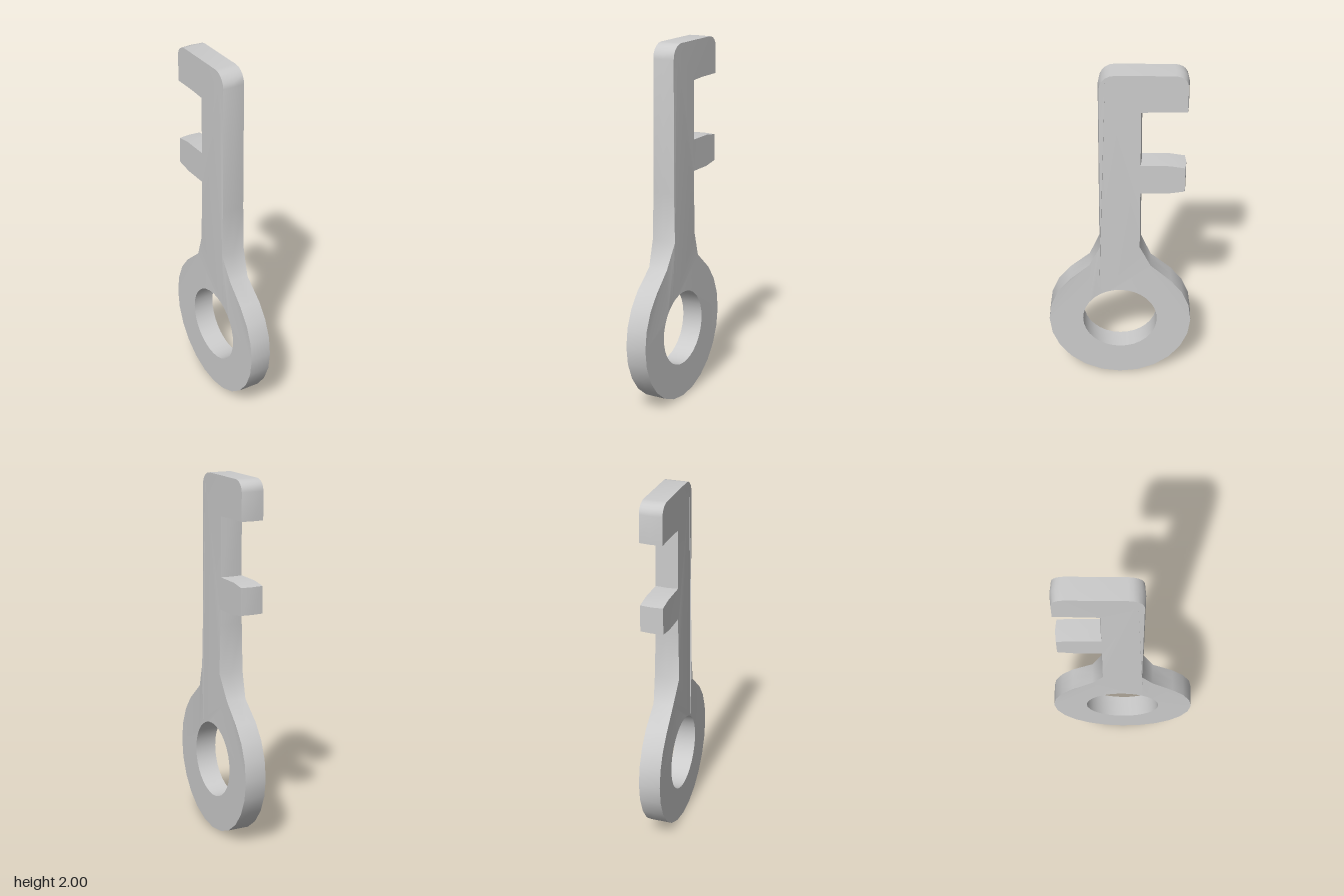
import * as THREE from 'three';
import { toCreasedNormals } from 'three/addons/utils/BufferGeometryUtils.js';

const RING_Y = 0.403, RING_R = 0.402;

// Profile drawn in the side plane: first coordinate points to the back (-z), second up
function keyShape() {
  const pts = [];
  // ring, from the left of the neck round the bottom to the right
  for (let deg = 135; deg <= 405; deg += 15) {
    const a = THREE.MathUtils.degToRad(deg);
    pts.push([RING_R * Math.cos(a), RING_Y + RING_R * Math.sin(a)]);
  }
  // neck, shaft back edge and the two bits
  pts.push([0.17, 0.79], [0.108, 0.93], [0.108, 1.2], [0.108, 1.285]);
  pts.push([0.25, 1.285], [0.343, 1.3], [0.343, 1.447], [0.26, 1.46], [0.108, 1.46]);
  pts.push([0.108, 1.785], [0.2, 1.79], [0.346, 1.79]);
  // rounded top corners
  const corner = (cx, cy, rx, ry, from) => {
    for (let i = 0; i <= 5; i++) {
      const a = from + (i / 5) * Math.PI / 2;
      pts.push([cx + rx * Math.cos(a), cy + ry * Math.sin(a)]);
    }
  };
  corner(0.276, 1.94, 0.07, 0.06, 0);
  corner(-0.028, 1.92, 0.08, 0.08, Math.PI / 2);
  // shaft front edge
  pts.push([-0.108, 1.2], [-0.108, 0.93], [-0.17, 0.79]);

  const shape = new THREE.Shape(pts.map(([x, y]) => new THREE.Vector2(x, y)));
  const hole = new THREE.Path();
  hole.absarc(0, 0.408, 0.21, 0, Math.PI * 2, true);
  shape.holes.push(hole);
  return shape;
}

// Half thickness by height: slightly pinched under the neck, swollen at its top
const levels = [[0, 0.06], [0.69, 0.06], [0.79, 0.056], [0.93, 0.07], [1.2, 0.064], [1.46, 0.062], [2, 0.062]];
function halfThickness(y) {
  for (let i = 1; i < levels.length; i++) {
    const [y0, t0] = levels[i - 1], [y1, t1] = levels[i];
    if (y <= y1) return THREE.MathUtils.mapLinear(y, y0, y1, t0, t1);
  }
  return 0.062;
}

export function createModel() {
  const group = new THREE.Group();
  const geo = new THREE.ExtrudeGeometry(keyShape(), {
    depth: 2, steps: 2, bevelEnabled: false, curveSegments: 16,
  });
  geo.translate(0, 0, -1);

  // set the thickness and crown the rim slightly along its middle
  const pos = geo.attributes.position;
  for (let i = 0; i < pos.count; i++) {
    const x = pos.getX(i), y = pos.getY(i), side = pos.getZ(i);
    if (Math.abs(side) < 0.01 && y > 0.9 && Math.abs(x) > 0.1) {
      pos.setX(i, x + 0.006 * Math.sign(x));
    }
    pos.setZ(i, side * halfThickness(y));
  }
  geo.rotateY(Math.PI / 2);

  const key = new THREE.Mesh(
    toCreasedNormals(geo, THREE.MathUtils.degToRad(32)),
    new THREE.MeshStandardMaterial({ color: 0xcccccc }),
  );
  key.name = 'key';
  group.add(key);
  return group;
}
